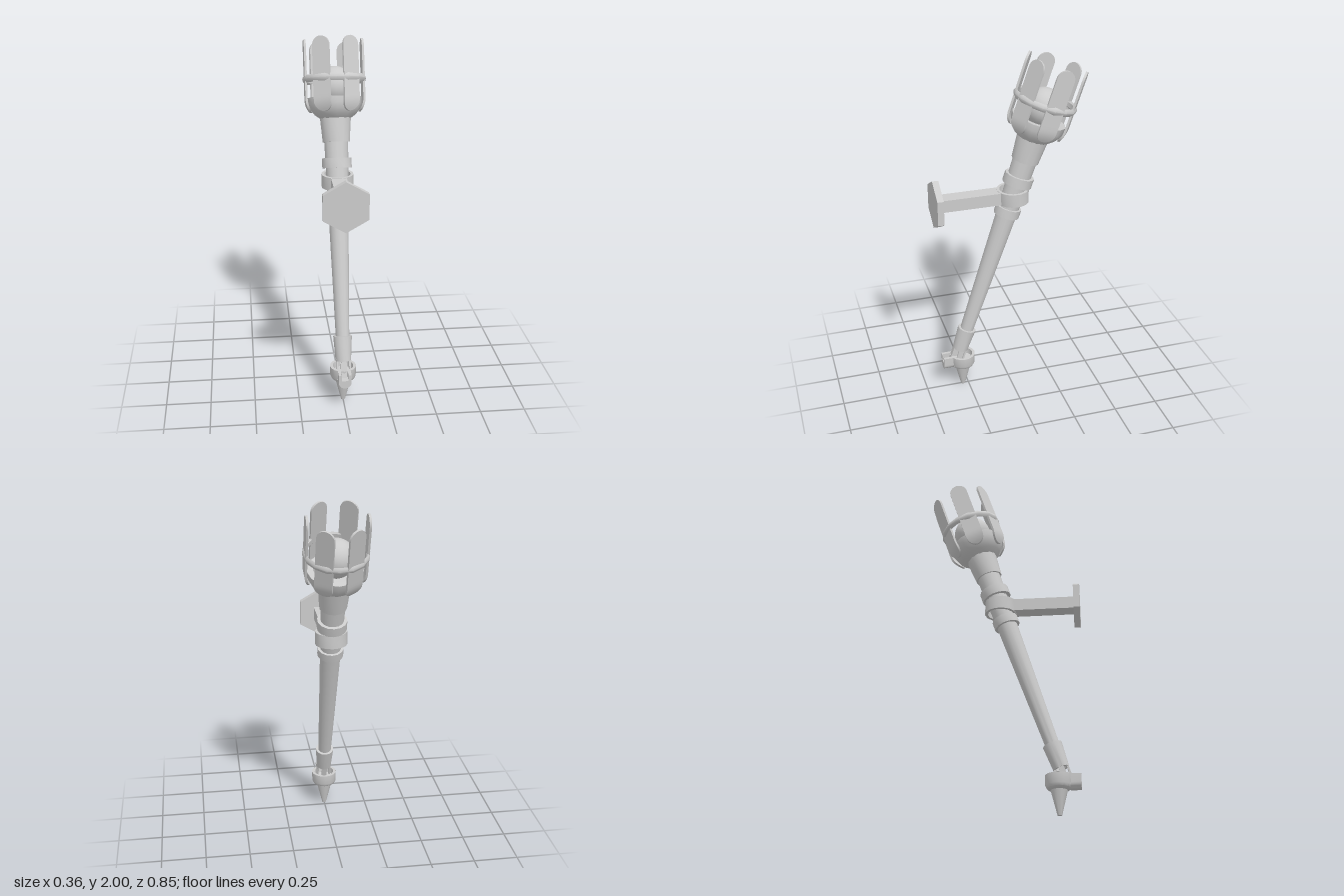
import * as THREE from 'three';
import { toCreasedNormals } from 'three/addons/utils/BufferGeometryUtils.js';

const material = new THREE.MeshStandardMaterial({ color: 0xcccccc });
const openMaterial = new THREE.MeshStandardMaterial({ color: 0xcccccc, side: THREE.DoubleSide });

function add(parent, name, geometry, mat = material) {
  const mesh = new THREE.Mesh(geometry, mat);
  mesh.name = name;
  parent.add(mesh);
  return mesh;
}

// Turned part from [radius, height] pairs, listed bottom to top on the outside
function turned(points, sides = 14) {
  const profile = points.map(([r, y]) => new THREE.Vector2(r, y));
  return toCreasedNormals(new THREE.LatheGeometry(profile, sides), 0.6);
}

// Hollow band with a rectangular section
function band(outer, inner, y0, y1, sides) {
  return turned([[inner, y0], [outer, y0], [outer, y1], [inner, y1], [inner, y0]], sides);
}

// Upright slat with round ends, its foot curling in under the bowl
function slatGeometry() {
  const bottom = 0.465, top = 0.87, half = 0.05;
  const g = new THREE.BoxGeometry(2 * half, 1, 0.012, 2, 28, 1);
  const p = g.attributes.position;
  for (let i = 0; i < p.count; i++) {
    const t = 0.5 - 0.5 * Math.cos(Math.PI * (p.getY(i) + 0.5));
    const y = bottom + (top - bottom) * t;
    const d = Math.max(0, 1 - Math.min(y - bottom, top - y) / half);
    const curl = Math.max(0, 0.54 - y) / 0.075;
    p.setXYZ(i, p.getX(i) * Math.sqrt(Math.max(0.004, 1 - d * d)), y, p.getZ(i) + 0.16 - 0.024 * curl * curl);
  }
  return toCreasedNormals(g, 0.7);
}

export function createModel() {
  const model = new THREE.Group();
  model.name = 'wallTorch';

  // Wall plate, arm and clamp
  const plate = add(model, 'wallPlate', new THREE.CylinderGeometry(0.14, 0.14, 0.035, 6).toNonIndexed());
  plate.geometry.computeVertexNormals();
  plate.rotation.x = Math.PI / 2;
  plate.position.set(0, 1.215, 0.407);
  add(model, 'arm', new THREE.BoxGeometry(0.086, 0.07, 0.345)).position.set(0, 1.215, 0.222);
  add(model, 'clamp', band(0.09, 0.074, 1.177, 1.252)).position.z = -0.027;

  // Everything along the leaning axis
  const torch = new THREE.Group();
  torch.name = 'torch';
  torch.position.y = 1.13;
  torch.rotation.x = -0.325;
  model.add(torch);

  add(torch, 'shaft', turned([[0, -0.88], [0.036, -0.88], [0.058, -0.02], [0.068, 0.32], [0, 0.32]]));
  add(torch, 'lowerCollar', band(0.073, 0.05, -0.034, 0.016));
  add(torch, 'upperCollar', band(0.083, 0.06, 0.156, 0.211));
  add(torch, 'neck', turned([[0, 0.3], [0.076, 0.3], [0.088, 0.45], [0, 0.45]]));
  add(torch, 'bowl', turned([
    [0, 0.43], [0.085, 0.43], [0.115, 0.451], [0.138, 0.48], [0.15, 0.51], [0.154, 0.545],
    [0.118, 0.545], [0.105, 0.5], [0, 0.48],
  ], 12));
  add(torch, 'ember', new THREE.SphereGeometry(0.106, 24, 16)).position.y = 0.615;
  add(torch, 'hoop', turned([
    [0.159, 0.636], [0.167, 0.627], [0.174, 0.635], [0.178, 0.648], [0.174, 0.661],
    [0.167, 0.669], [0.159, 0.66], [0.159, 0.636],
  ], 16));

  // Six slats around the bowl
  const slat = slatGeometry();
  for (let i = 0; i < 6; i++) {
    add(torch, 'slat', slat).rotation.y = (i + 0.5) * Math.PI / 3;
  }

  // Cuff with four thin prongs reaching down to the foot cup
  add(torch, 'cuff', turned([
    [0.03, -0.925], [0.044, -0.925], [0.053, -0.785], [0.035, -0.785], [0.03, -0.925],
  ]));
  for (let i = 0; i < 4; i++) {
    const prong = new THREE.Group();
    prong.name = 'prong';
    prong.rotation.y = i * Math.PI / 2;
    add(prong, 'prongBar', new THREE.BoxGeometry(0.03, 0.13, 0.01)).position.set(0, -0.965, 0.036);
    torch.add(prong);
  }

  // Upright foot: cup and spike
  const foot = new THREE.Group();
  foot.name = 'foot';
  foot.position.z = 0.282;
  model.add(foot);
  add(foot, 'cup', turned([
    [0, 0.134], [0.05, 0.134], [0.066, 0.144], [0.073, 0.16], [0.074, 0.215],
    [0.058, 0.215], [0.055, 0.18], [0, 0.175],
  ], 16), openMaterial);
  add(foot, 'spike', turned([[0, 0], [0.012, 0], [0.046, 0.136], [0, 0.136]]));

  // Slotted lug on the front of the cup
  const u = new THREE.Shape();
  u.moveTo(-0.036, 0.215);
  u.lineTo(-0.036, 0.17);
  u.absarc(0, 0.17, 0.036, Math.PI, 2 * Math.PI, false);
  u.lineTo(0.036, 0.215);
  u.lineTo(0.019, 0.215);
  u.lineTo(0.019, 0.18);
  u.lineTo(-0.019, 0.18);
  u.lineTo(-0.019, 0.215);
  const lug = new THREE.ExtrudeGeometry(u, { depth: 0.058, bevelEnabled: false, curveSegments: 8 });
  add(foot, 'lug', toCreasedNormals(lug, 0.6)).position.z = 0.06;

  return model;
}
